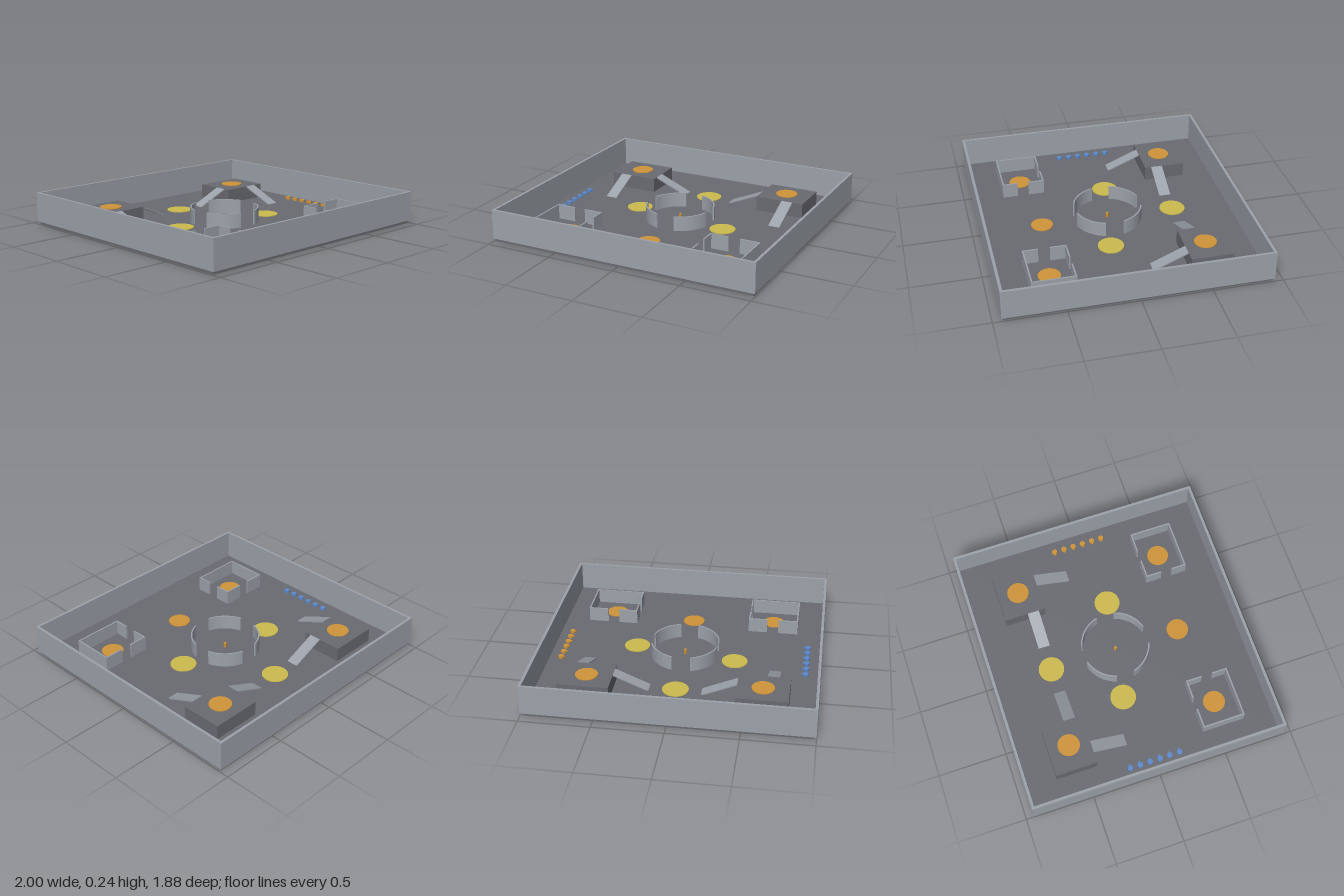
import * as THREE from 'three';

const mat = (name, color) => {
  const m = new THREE.MeshStandardMaterial({ color });
  m.name = name;
  return m;
};

export function createModel() {
  const root = new THREE.Group();
  root.name = 'arena';
  const floorGrey = mat('floor grey', 0x6a6b71);
  const wallGrey = mat('wall grey', 0x9ca2aa);
  const orange = mat('orange', 0xcf943a);
  const yellow = mat('yellow', 0xcdbb4e);
  const blue = mat('blue', 0x5b8ad0);

  const F = 0.022;   // floor level
  const H = 0.13;    // top of platforms and low walls

  const add = (name, geo, material, x, y, z, parent = root) => {
    const m = new THREE.Mesh(geo, material);
    m.name = name;
    m.position.set(x, y, z);
    parent.add(m);
    return m;
  };
  // box given by its extents on each axis
  const box = (name, material, x0, x1, y0, y1, z0, z1) =>
    add(name, new THREE.BoxGeometry(Math.abs(x1 - x0), y1 - y0, Math.abs(z1 - z0)), material,
      (x0 + x1) / 2, (y0 + y1) / 2, (z0 + z1) / 2);
  const disc = (name, material, r, x, y, z) =>
    add(name, new THREE.CylinderGeometry(r, r, 0.006, 40), material, x, y + 0.003, z);

  // floor slab and outer walls
  box('floor', floorGrey, -0.987, 0.987, 0, F, -0.927, 0.927);
  for (const s of [-1, 1]) {
    box('sideWall', wallGrey, s * 0.98, s, F, 0.237, -0.94, 0.94);
    box('endWall', wallGrey, -0.98, 0.98, F, 0.237, s * 0.92, s * 0.94);
  }

  // sloping slab running down from the origin along +x
  const ramp = (x, z, turn) => {
    const run = 0.25, drop = H - F, t = 0.01;
    const shape = new THREE.Shape([
      new THREE.Vector2(0, H - t), new THREE.Vector2(run - t * 2, F),
      new THREE.Vector2(run, F), new THREE.Vector2(0, F + drop),
    ]);
    const geo = new THREE.ExtrudeGeometry(shape, { depth: 0.086, bevelEnabled: false });
    geo.translate(0, 0, -0.043);
    add('ramp', geo, wallGrey, x, 0, z).rotation.y = turn;
  };

  for (const s of [-1, 1]) {
    // raised back platform with two ramps
    box('platform', floorGrey, s * 0.8, s * 0.435, F, H - 0.001, -0.71, -0.405);
    disc('platformMarker', orange, 0.08, s * 0.617, H - 0.001, -0.558);
    ramp(s * 0.435, -0.495, s > 0 ? Math.PI : 0);
    ramp(s * 0.678, -0.405, -Math.PI / 2);

    // walled front pen with two openings
    const t = 0.011;
    box('penOuterWall', wallGrey, s * 0.805, s * (0.805 - t), F, H, 0.394, 0.708);
    box('penFrontWall', wallGrey, s * (0.805 - t), s * (0.432 + t), F, H, 0.708 - t, 0.708);
    box('penBackWall', wallGrey, s * (0.805 - t), s * 0.657, F, H, 0.394, 0.394 + t);
    box('penBackWall', wallGrey, s * 0.573, s * (0.432 + t), F, H, 0.394, 0.394 + t);
    box('penInnerWall', wallGrey, s * 0.432, s * (0.432 + t), F, H, 0.394, 0.512);
    box('penInnerWall', wallGrey, s * 0.432, s * (0.432 + t), F, H, 0.596, 0.708);
    disc('penMarker', orange, 0.08, s * 0.617, F, 0.552);
  }

  // floor markers
  disc('frontMarker', orange, 0.08, 0, F, 0.49);
  for (const [x, z] of [[0, -0.497], [-0.372, -0.065], [0.37, 0.06]])
    disc('yellowMarker', yellow, 0.094, x, F, z);

  // central ring of four curved walls
  const gap = THREE.MathUtils.degToRad(15.5);
  const arc = new THREE.Shape();
  arc.absarc(0, 0, 0.252, gap, Math.PI / 2 - gap, false);
  arc.absarc(0, 0, 0.241, Math.PI / 2 - gap, gap, true);
  const arcGeo = new THREE.ExtrudeGeometry(arc, { depth: H - F, bevelEnabled: false, curveSegments: 16 });
  arcGeo.rotateX(-Math.PI / 2);
  for (let i = 0; i < 4; i++)
    add('ringWall', arcGeo, wallGrey, 0, F, 0).rotation.y = i * Math.PI / 2;
  add('centrePost', new THREE.CylinderGeometry(0.012, 0.012, 0.035, 8), orange, 0, F + 0.0175, 0);

  // two rows of small round units, each pointing inwards
  for (const [s, material, name] of [[-1, blue, 'blueUnit'], [1, orange, 'orangeUnit']])
    for (let i = 0; i < 6; i++) {
      const unit = new THREE.Group();
      unit.name = name;
      unit.position.set(s * 0.894, F, -0.188 + i * 0.0745);
      root.add(unit);
      add('unitBody', new THREE.CylinderGeometry(0.02, 0.02, 0.018, 16), material, 0, 0.009, 0, unit);
      add('unitNose', new THREE.BoxGeometry(0.014, 0.008, 0.01), material, -s * 0.022, 0.012, 0, unit);
    }

  return root;
}
